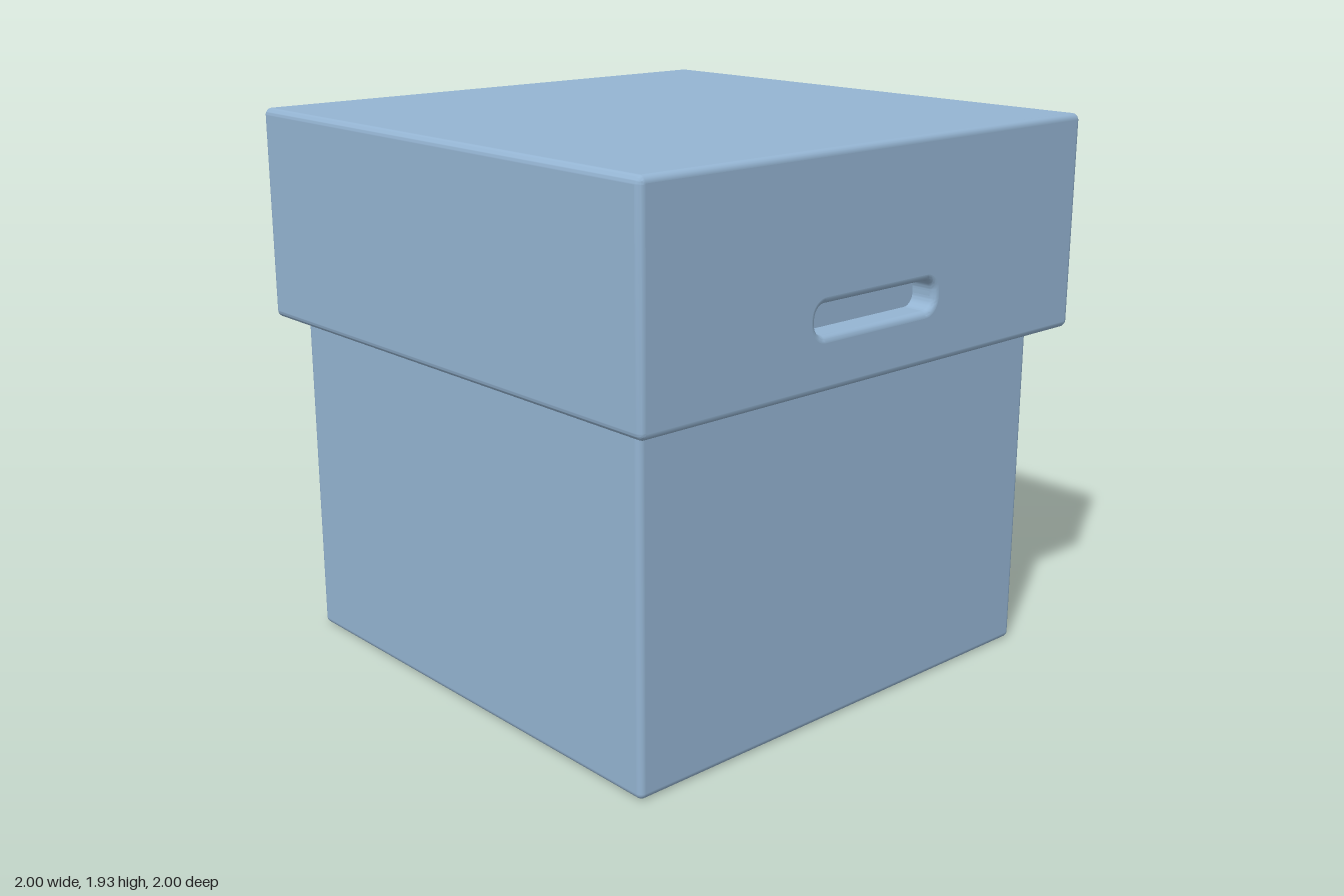
import * as THREE from 'three';
import { RoundedBoxGeometry } from 'three/addons/geometries/RoundedBoxGeometry.js';
import { toCreasedNormals } from 'three/addons/utils/BufferGeometryUtils.js';

// Trace a rounded rectangle into a Shape or Path
function roundedRect(path, cx, cy, w, h, r) {
  const x0 = cx - w / 2, x1 = cx + w / 2, y0 = cy - h / 2, y1 = cy + h / 2;
  path.moveTo(x0 + r, y0);
  path.lineTo(x1 - r, y0);
  path.absarc(x1 - r, y0 + r, r, -Math.PI / 2, 0);
  path.lineTo(x1, y1 - r);
  path.absarc(x1 - r, y1 - r, r, 0, Math.PI / 2);
  path.lineTo(x0 + r, y1);
  path.absarc(x0 + r, y1 - r, r, Math.PI / 2, Math.PI);
  path.lineTo(x0, y0 + r);
  path.absarc(x0 + r, y0 + r, r, Math.PI, Math.PI * 1.5);
  return path;
}

// Smooth the rounded edges but keep the large axis-aligned faces flat
function smoothEdges(geometry) {
  const g = toCreasedNormals(geometry, 0.6);
  const p = g.attributes.position, n = g.attributes.normal;
  const tri = new THREE.Triangle(), f = new THREE.Vector3();
  for (let i = 0; i < p.count; i += 3) {
    tri.setFromAttributeAndIndices(p, i, i + 1, i + 2).getNormal(f);
    if (Math.max(Math.abs(f.x), Math.abs(f.y), Math.abs(f.z)) < 0.9999) continue;
    for (let k = 0; k < 3; k++) n.setXYZ(i + k, f.x, f.y, f.z);
  }
  return g;
}

export function createModel() {
  const group = new THREE.Group();
  const material = new THREE.MeshStandardMaterial({ color: 0x94b4d2 });
  const bodyZ = 0.0175;

  // Box body, reaching up inside the lid and closing the back of the handle slots
  const body = new THREE.Mesh(new RoundedBoxGeometry(1.815, 1.9, 1.815, 4, 0.022), material);
  body.name = 'boxBody';
  body.position.set(0, 0.95, bodyZ);
  group.add(body);

  // Lid: side profile with a handle slot, extruded across x with rounded edges
  const bevel = 0.022;
  const profile = roundedRect(new THREE.Shape(), 0, 1.56, 2, 0.75, 0.025);
  profile.holes.push(roundedRect(new THREE.Path(), -bodyZ, 1.415, 0.55, 0.1, 0.042));
  const lidGeometry = new THREE.ExtrudeGeometry(profile, {
    depth: 2 - 2 * bevel,
    curveSegments: 6,
    bevelThickness: bevel,
    bevelSize: bevel,
    bevelOffset: -bevel,
    bevelSegments: 5,
  });
  lidGeometry.translate(0, 0, -(1 - bevel));
  lidGeometry.rotateY(Math.PI / 2);
  const lid = new THREE.Mesh(smoothEdges(lidGeometry), material);
  lid.name = 'lid';
  group.add(lid);

  return group;
}
